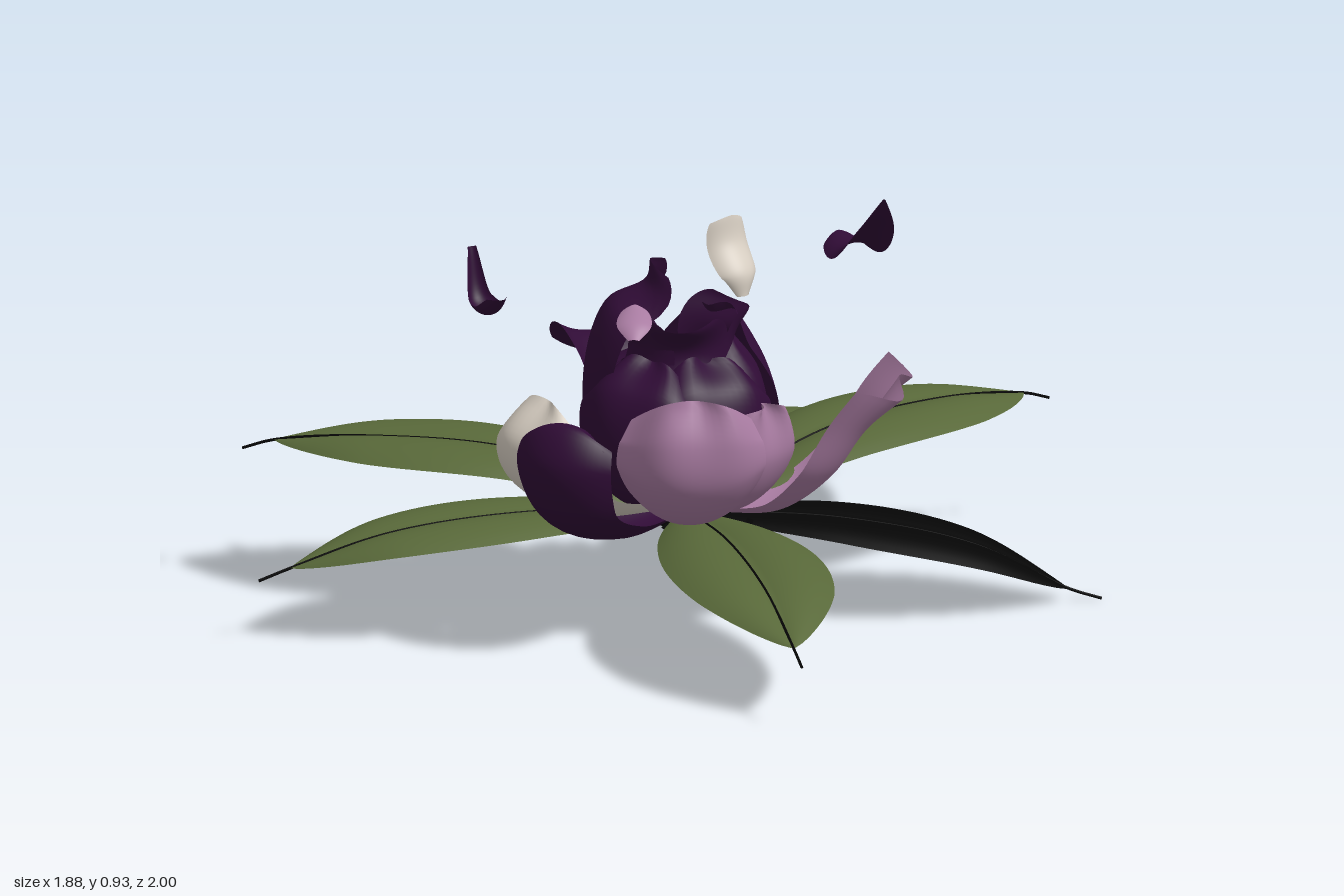
import * as THREE from 'three';

const paint = (name, color, side = THREE.DoubleSide) => {
  const m = new THREE.MeshStandardMaterial({ color, side });
  m.name = name;
  return m;
};

// Curve through [outward, height] points in the local z-y plane
const spineOf = (pts) =>
  new THREE.CatmullRomCurve3(pts.map(([r, y]) => new THREE.Vector3(0, y, r)));

// Grid surface swept along a spine; section(u, t) gives [sideways, inward] offsets
function sweep(spine, section, round = 0, rows = 32, cols = 20) {
  const pos = [], idx = [];
  for (let i = 0; i <= rows; i++) {
    for (let j = 0; j <= cols; j++) {
      const u = (j / cols) * 2 - 1;
      const t = (i / rows) * (1 - round * u * u);
      const p = spine.getPoint(t), d = spine.getTangent(t);
      const [s, n] = section(u, t);
      pos.push(s, p.y + d.z * n, p.z - d.y * n);
      if (i < rows && j < cols) {
        const a = i * (cols + 1) + j, b = a + cols + 1;
        idx.push(a, b, a + 1, a + 1, b, b + 1);
      }
    }
  }
  const g = new THREE.BufferGeometry();
  g.setAttribute('position', new THREE.Float32BufferAttribute(pos, 3));
  g.setIndex(idx);
  g.computeVertexNormals();
  return g;
}

// Petal: narrow base, widest at 60%, rounded off to the tip; arc section with optional ruffles
function petal(pts, { width, base = 0.3, tip = 0.25, wrap = 0.9, frill = 0 }) {
  const section = (u, t) => {
    const w = width * (t < 0.6
      ? base + (1 - base) * Math.sin((t / 0.6) * Math.PI / 2)
      : tip + (1 - tip) * Math.sqrt(Math.max(0, 1 - ((t - 0.6) / 0.4) ** 2)));
    const R = w / Math.sin(wrap);
    const ruffle = frill * t ** 3 * Math.sin(u * 6 + 1);
    return [R * Math.sin(u * wrap), R * (1 - Math.cos(u * wrap)) + ruffle];
  };
  return sweep(spineOf(pts), section, 0.08);
}

export function createModel() {
  const model = new THREE.Group();
  const green = paint('leaf green', 0x586839);
  const black = paint('black', 0x050505);
  const purple = paint('dark purple', 0x300c36);
  const lilac = paint('lilac', 0xa97ca2);
  const cream = paint('cream', 0xd8cfc3);
  const yellow = paint('pollen yellow', 0xc8b468, THREE.FrontSide);

  const core = [0.1, 0, 0.165];
  const add = (name, geo, mat, degrees = 0, at = core, parent = model) => {
    const m = new THREE.Mesh(geo, mat);
    m.name = name;
    m.position.set(...at);
    m.rotation.y = THREE.MathUtils.degToRad(degrees);
    parent.add(m);
    return m;
  };

  // Leaf from the core to its tip, grooved at the midrib, with a vein running past the tip
  const leaf = (x, z, width, midY, farY, tipY, mat = green) => {
    const dx = x - core[0], dz = z - core[2], len = Math.hypot(dx, dz);
    const angle = THREE.MathUtils.radToDeg(Math.atan2(dx, dz));
    const pts = [[0, 0.235], [len * 0.4, midY], [len * 0.75, farY], [len, tipY]];
    const section = (u, t) => {
      const w = 0.004 + width * Math.sin(Math.PI * t ** 0.95) ** 0.85;
      return [u * w, w * (0.4 * Math.abs(u) - 0.5 * u * u)];
    };
    add('leaf', sweep(spineOf(pts), section, 0, 36), mat, angle);
    const vein = spineOf([...pts, [len + 0.075, tipY - 0.025]]);
    add('leafVein', new THREE.TubeGeometry(vein, 40, 0.0035, 6), black, angle);
  };
  leaf(0.11, -0.92, 0.215, 0.275, 0.24, 0.17);
  leaf(0.59, -0.68, 0.19, 0.355, 0.37, 0.34);
  leaf(0.88, -0.22, 0.175, 0.21, 0.14, 0.03, black);
  leaf(0.66, 0.94, 0.18, 0.265, 0.24, 0.175);
  leaf(-0.65, 0.72, 0.17, 0.26, 0.235, 0.17);
  leaf(-0.86, 0.28, 0.195, 0.35, 0.36, 0.335);

  // Closed inner cup, open toward the back left: [azimuth, belly radius, top height]
  const cup = [0.085, 0, 0.165];
  for (const [angle, r, top] of [[165, 0.235, 0.7], [110, 0.2, 0.65], [45, 0.22, 0.63], [-12, 0.25, 0.63], [-88, 0.21, 0.6]]) {
    const pts = [[0.02, 0.24], [r * 0.8, 0.3], [r, 0.43], [r * 0.92, 0.56], [r * 0.55, top]];
    add('cupPetal', petal(pts, { width: 0.165, tip: 0.35, frill: 0.015 }), purple, angle, cup);
  }
  add('tallCupPetal', petal(
    [[0.02, 0.26], [0.2, 0.4], [0.22, 0.58], [0.17, 0.73], [0.08, 0.78], [0.07, 0.83]],
    { width: 0.13, tip: 0.08 }), purple, -66, cup);

  // Curled petals inside the cup
  for (const angle of [-50, 20, 140]) {
    const pts = [[0.02, 0.3], [0.15, 0.5], [0.12, 0.64], [0.17, 0.7]];
    add('innerPetal', petal(pts, { width: 0.11, wrap: 1.1 }), purple, angle, cup);
  }

  // Open outer petals
  add('frontLilacPetal', petal(
    [[0.05, 0.25], [0.27, 0.28], [0.38, 0.38], [0.4, 0.49], [0.37, 0.6]],
    { width: 0.17, tip: 0.5, frill: 0.02 }), lilac, 23);
  add('rightLilacPetal', petal(
    [[0.08, 0.25], [0.24, 0.27], [0.36, 0.36], [0.44, 0.48], [0.52, 0.57]],
    { width: 0.2, tip: 0.9, wrap: 0.6, frill: 0.025 }), lilac, 100, [0.1, 0, 0.2]);
  add('rightLowerLilacPetal', petal(
    [[0.04, 0.25], [0.18, 0.28], [0.27, 0.4], [0.26, 0.54]],
    { width: 0.14, frill: 0.02 }), lilac, 65);
  add('backLilacPetal', petal(
    [[0.04, 0.25], [0.19, 0.28], [0.28, 0.37], [0.34, 0.45]],
    { width: 0.11, tip: 0.5, wrap: 0.7, frill: 0.02 }), lilac, -163);
  add('creamPetal', petal(
    [[0.05, 0.25], [0.31, 0.28], [0.46, 0.37], [0.48, 0.47], [0.4, 0.57]],
    { width: 0.17, tip: 0.3, frill: 0.012 }), cream, -33);
  add('frontPurplePetal', petal(
    [[0.05, 0.24], [0.33, 0.25], [0.54, 0.33], [0.6, 0.48], [0.55, 0.57], [0.48, 0.55]],
    { width: 0.125 }), purple, -10);
  add('backLeftPurplePetal', petal(
    [[0.05, 0.25], [0.2, 0.33], [0.31, 0.53], [0.39, 0.57], [0.45, 0.51]],
    { width: 0.115, wrap: 0.6 }), purple, -127);

  // Loose petals drifting in the air
  add('floatingCreamPetal', petal(
    [[0.05, 0.75], [0.05, 0.8], [0.01, 0.87], [0, 0.93]],
    { width: 0.058, tip: 0.5 }), cream, 60, [0.19, 0, 0.12]);
  add('floatingBackPetal', petal(
    [[0.17, 0.82], [0.11, 0.75], [0.02, 0.68], [-0.06, 0.69]],
    { width: 0.062, base: 0.06 }), purple, 48, [0.2, 0, -0.6]);
  add('floatingLeftPetal', petal(
    [[-0.06, 0.83], [-0.03, 0.71], [0.03, 0.69], [0.09, 0.74]],
    { width: 0.036, wrap: 1.2 }), purple, 50, [-0.35, 0, 0.285]);
  add('floatingLilacPetal', petal(
    [[0.06, 0.735], [0.02, 0.765], [-0.06, 0.785]],
    { width: 0.04, wrap: 0.6 }), lilac, 20, [0.09, 0, 0.47]);

  // Stamens: stalk and a spiral dome of grains
  const stamens = new THREE.Group();
  stamens.name = 'stamens';
  model.add(stamens);
  const stalk = new THREE.CylinderGeometry(0.05, 0.03, 0.2, 16);
  add('stamenStalk', stalk, yellow, 0, [0.1, 0.34, 0.18], stamens);
  const grain = new THREE.SphereGeometry(0.022, 12, 8);
  for (let i = 0; i < 22; i++) {
    const a = i * 2.4, r = 0.019 * Math.sqrt(i);
    const at = [0.1 + r * Math.sin(a), 0.5 - r * r * 6, 0.18 + r * Math.cos(a)];
    add('stamenGrain', grain, yellow, 0, at, stamens);
  }

  // Dark base with small sepals beneath the flower
  const base = add('flowerBase', new THREE.SphereGeometry(0.09, 20, 12), black);
  base.position.y = 0.23;
  base.scale.y = 0.35;
  const sepal = petal([[0.02, 0.225], [0.1, 0.215], [0.18, 0.23]], { width: 0.045, tip: 0.1, wrap: 0.5 });
  for (let i = 0; i < 6; i++) add('sepal', sepal, black, i * 60 + 15);

  return model;
}
